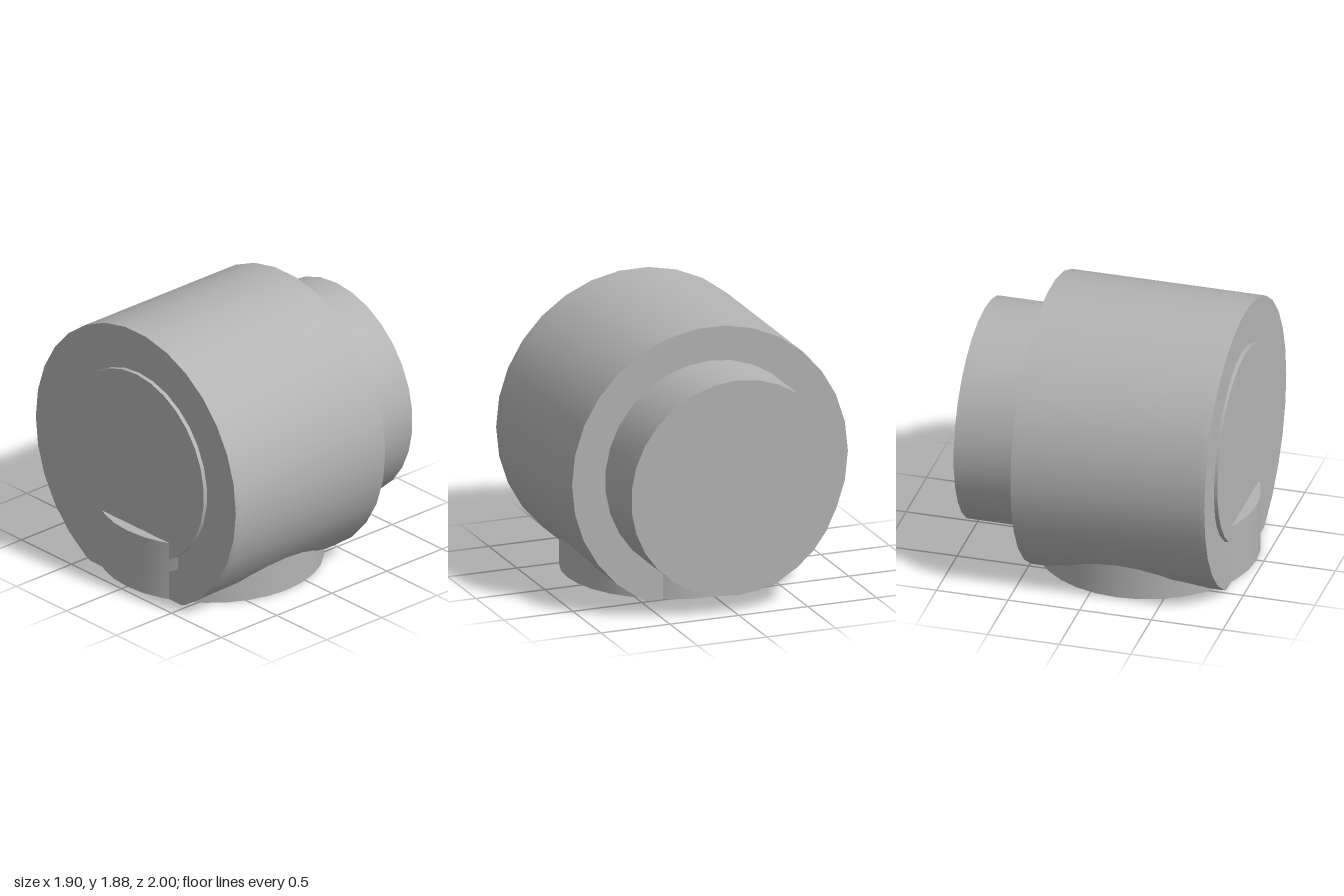
import * as THREE from 'three';
import { toCreasedNormals } from 'three/addons/utils/BufferGeometryUtils.js';

const AXIS_Y = 0.885; // height of the horizontal axis
const SIDES = 30;

// Points of a regular polygon around the horizontal axis
function ringPoints(radius, offset) {
  const points = [];
  for (let i = 0; i < SIDES; i++) {
    const a = ((i + offset) / SIDES) * Math.PI * 2;
    points.push(new THREE.Vector2(radius * Math.sin(a), AXIS_Y + radius * Math.cos(a)));
  }
  return points;
}

// Cut a polygon off at ground level
function clipAtGround(points) {
  const out = [];
  points.forEach((p, i) => {
    const q = points[(i + 1) % points.length];
    if (p.y >= 0) out.push(p);
    if (p.y >= 0 !== q.y >= 0) out.push(p.clone().lerp(q, p.y / (p.y - q.y)));
  });
  return out;
}

export function createModel() {
  const group = new THREE.Group();
  const grey = new THREE.MeshStandardMaterial({ color: 0xb4b4b4 });
  grey.name = 'plain grey';

  function add(name, geometry) {
    const mesh = new THREE.Mesh(toCreasedNormals(geometry, 0.5), grey);
    mesh.name = name;
    group.add(mesh);
    return mesh;
  }

  // Extrude an outline along x
  function alongX(name, points, x0, x1, hole) {
    const shape = new THREE.Shape(points);
    if (hole) shape.holes.push(new THREE.Path(hole));
    const geometry = new THREE.ExtrudeGeometry(shape, { depth: x1 - x0, bevelEnabled: false });
    geometry.rotateY(Math.PI / 2).translate(x0, 0, 0);
    return add(name, geometry);
  }

  // Large drum, flattened underneath
  const drum = clipAtGround(ringPoints(1, 0.5));
  alongX('drumBody', drum, -0.84, 0.485);

  // Shallow ring groove in the closed end
  alongX('endRim', drum, -0.87, -0.84, ringPoints(0.76, 0));
  alongX('endDisc', ringPoints(0.68, 0), -0.87, -0.84);

  // Narrower neck on the other end
  alongX('neck', ringPoints(0.76, 0), 0.48, 0.95);

  // Upright round foot
  const foot = new THREE.CylinderGeometry(0.76, 0.76, 0.42, 32);
  foot.translate(-0.19, 0.21, 0);
  add('foot', foot);

  return group;
}
